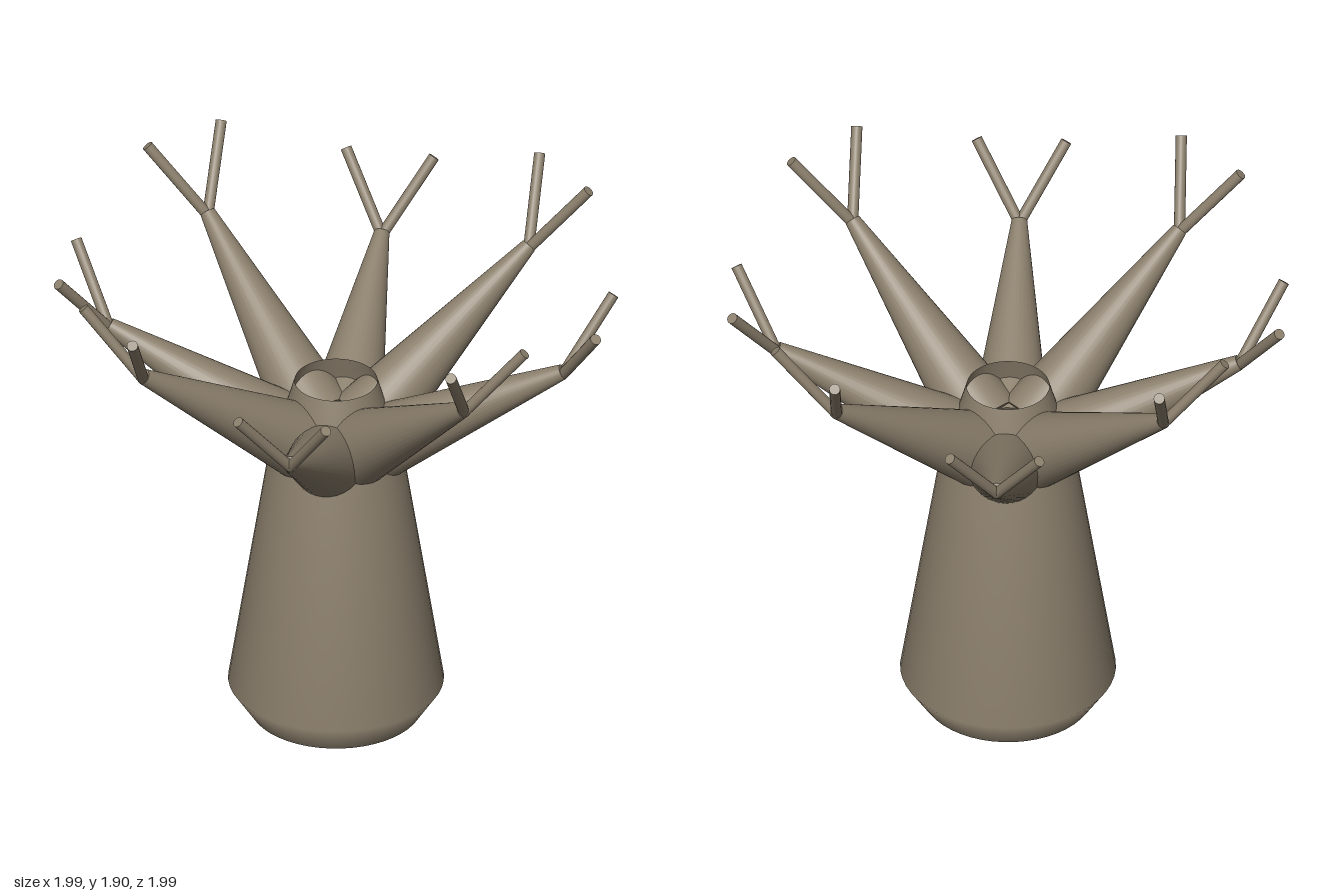
import * as THREE from 'three';

const bark = new THREE.MeshStandardMaterial({ color: 0x8b7f6c, side: THREE.DoubleSide });
const UP = new THREE.Vector3(0, 1, 0);

// Tapered round limb running between two points
function limb(name, from, to, r0, r1, sides, open) {
  const dir = to.clone().sub(from);
  const mesh = new THREE.Mesh(new THREE.CylinderGeometry(r1, r0, dir.length(), sides, 1, open), bark);
  mesh.position.copy(from).addScaledVector(dir, 0.5);
  mesh.quaternion.setFromUnitVectors(UP, dir.normalize());
  mesh.name = name;
  return mesh;
}

// One branch pointing along +x, forking into two twigs
function createBranch(baseY, tipY, twigTip) {
  const branch = new THREE.Group();
  const base = new THREE.Vector3(0.12, baseY, 0);
  const tip = new THREE.Vector3(0.825, tipY, 0);
  branch.add(limb('bough', base, tip, 0.143, 0.028, 32, false));
  for (const side of [-1, 1]) {
    const end = new THREE.Vector3(twigTip[0], twigTip[1], twigTip[2] * side);
    branch.add(limb('twig', tip.clone().setY(tipY - 0.01), end, 0.02, 0.02, 16, false));
  }
  return branch;
}

export function createModel() {
  const model = new THREE.Group();
  model.name = 'tree';

  // Hollow trunk, open at the top and bottom
  const profile = [[0.31, 0], [0.385, 0.115], [0.247, 1.0], [0.148, 1.345]]
    .map(([r, y]) => new THREE.Vector2(r, y));
  const trunk = new THREE.Mesh(new THREE.LatheGeometry(profile, 48), bark);
  trunk.name = 'trunk';
  model.add(trunk);

  // Eight branches, low and high ones alternating
  for (let i = 0; i < 8; i++) {
    const high = i % 2 === 1;
    const branch = high
      ? createBranch(1.12, 1.63, [0.977, 1.885, 0.158])
      : createBranch(1.085, 1.475, [0.977, 1.72, 0.16]);
    branch.rotation.y = (i * Math.PI) / 4;
    branch.name = high ? 'highBranch' : 'lowBranch';
    model.add(branch);
  }
  return model;
}
